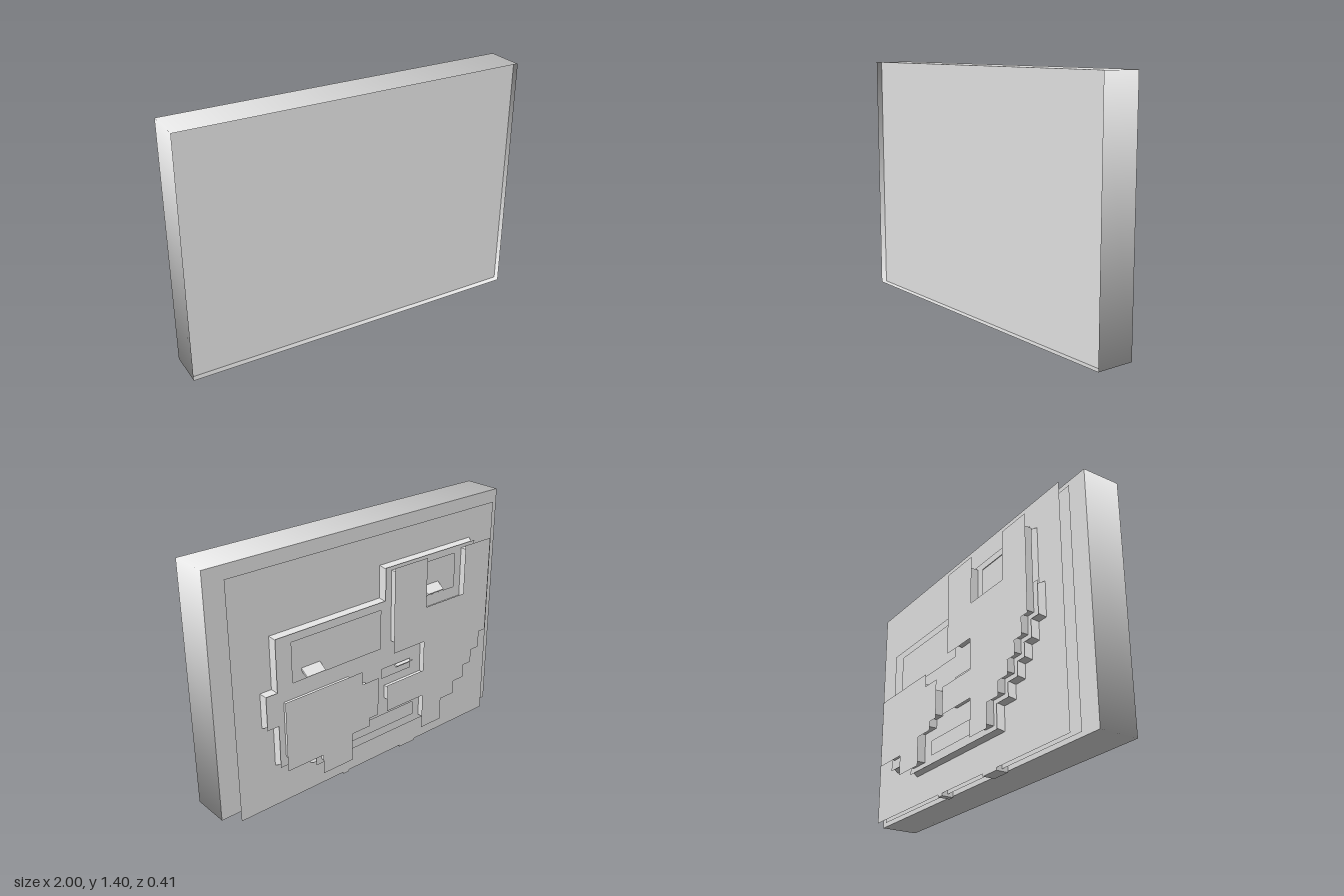
import * as THREE from 'three';

const grey = new THREE.MeshStandardMaterial({ color: 0xe6e6e6, side: THREE.DoubleSide });
grey.name = 'plain grey';

const vectors = (pts) => {
  const v = pts.map(([x, y]) => new THREE.Vector2(x, y));
  return THREE.ShapeUtils.isClockWise(v) ? v.reverse() : v;
};

// Grow (d > 0) or shrink (d < 0) a right-angled outline
function offset(outline, d) {
  const n = outline.length;
  const normal = (a, b) => new THREE.Vector2(b.y - a.y, a.x - b.x).normalize();
  return outline.map((p, i) => {
    const before = normal(outline[(i + n - 1) % n], p);
    const after = normal(p, outline[(i + 1) % n]);
    return p.clone().addScaledVector(before, d).addScaledVector(after, d);
  });
}

// Strip of wall joining one outline at z0 to a matching outline at z1
function wallGeometry(a, z0, b, z1) {
  const pos = [];
  a.forEach((p, i) => {
    const j = (i + 1) % a.length;
    const q = a[j], r = b[j], s = b[i];
    pos.push(p.x, p.y, z0, r.x, r.y, z1, q.x, q.y, z0);
    pos.push(p.x, p.y, z0, s.x, s.y, z1, r.x, r.y, z1);
  });
  const geo = new THREE.BufferGeometry();
  geo.setAttribute('position', new THREE.Float32BufferAttribute(pos, 3));
  geo.computeVertexNormals();
  return geo;
}

// Flat sheet that faces the back
function sheetGeometry(outline, z, holes = []) {
  const shape = new THREE.Shape(outline);
  holes.forEach((h) => shape.holes.push(new THREE.Path(h)));
  const geo = new THREE.ShapeGeometry(shape);
  const index = geo.index.array;
  for (let i = 0; i < index.length; i += 3) [index[i], index[i + 1]] = [index[i + 1], index[i]];
  geo.computeVertexNormals();
  return geo.translate(0, 0, z);
}

const rect = (x0, x1, y0, y1) => vectors([[x0, y0], [x1, y0], [x1, y1], [x0, y1]]);

// Staircase shared by the frame and the large block
const stairs = [
  [-0.7, 0.64], [-0.7, 0.54], [-0.64, 0.54], [-0.64, 0.46], [-0.58, 0.46],
  [-0.58, 0.38], [-0.5, 0.38], [-0.5, 0.3], [-0.4, 0.3], [-0.4, 0.165],
];

const frameOutline = vectors([
  [-0.01, 1.2], [-0.71, 1.2], [-0.71, 0.86], [-0.76, 0.86], [-0.76, 0.64], ...stairs,
  [0.48, 0.165], [0.48, 0.25], [0.71, 0.25], [0.71, 0.5], [0.78, 0.5],
  [0.78, 0.72], [0.71, 0.72], [0.71, 1.015], [-0.01, 1.015],
]);

const largeBlock = vectors([
  [-0.025, 1.205], [-0.26, 1.205], [-0.26, 0.92], [-0.55, 0.92], [-0.55, 1.205],
  [-0.75, 1.205], [-0.75, 0.64], ...stairs, [-0.25, 0.165], [-0.25, 0.376],
  [0.02, 0.376], [0.02, 0.535], [-0.25, 0.535], [-0.25, 0.715], [-0.025, 0.715],
]);

const smallBlock = vectors([
  [0.7, 0.68], [0.2, 0.68], [0.2, 0.605], [0.086, 0.605], [0.086, 0.38], [0.15, 0.38],
  [0.15, 0.33], [0.27, 0.33], [0.27, 0.166], [0.47, 0.166], [0.47, 0.28], [0.7, 0.28],
]);

export function createModel() {
  const model = new THREE.Group();
  model.name = 'layeredRelief';
  const add = (name, geo) => {
    const mesh = new THREE.Mesh(geo, grey);
    mesh.name = name;
    model.add(mesh);
    return mesh;
  };

  // Slab: smoothly shaded rim, a front panel set back inside it and a flush back panel
  const rim = new THREE.CylinderGeometry(Math.SQRT1_2, Math.SQRT1_2, 1, 4, 1, true, Math.PI / 4);
  rim.rotateX(Math.PI / 2).scale(2, 1.39, 0.22).translate(0, 0.705, 0.095);
  add('slabRim', rim);
  const front = new THREE.PlaneGeometry(2, 1.39);
  add('frontPanel', front.translate(0, 0.705, 0.171));
  add('backPanel', sheetGeometry(rect(-1, 1, 0.01, 1.4), -0.015));

  // Two thin sheets floating behind the slab
  add('innerSheet', sheetGeometry(rect(-0.925, 0.89, 0.012, 1.33), -0.055));
  add('outerSheet', sheetGeometry(rect(-0.887, 0.927, 0.012, 1.36), -0.09));

  // Sloping walls that carry the sheets and the frame: [z0, growth0, z1, growth1]
  const steps = [
    [-0.015, 0.07, -0.055, 0.05],
    [-0.055, 0.035, -0.09, 0.015],
    [-0.09, -0.01, -0.135, -0.03],
  ];
  steps.forEach(([z0, d0, z1, d1], i) => {
    add('slopingWall' + (i + 1), wallGeometry(offset(frameOutline, d0), z0, offset(frameOutline, d1), z1));
  });

  // Small feet between the slab and the outer sheet
  for (const [x, width] of [[-0.25, 0.12], [0.22, 0.04]]) {
    const foot = add('foot', new THREE.BoxGeometry(width, 0.1, 0.07));
    foot.position.set(x, 0.05, -0.053);
  }

  // Frame face with its sunken windows, slightly overhanging its wall
  const windows = [
    rect(0.01, 0.6, 0.73, 0.956),
    rect(-0.54, -0.27, 0.945, 1.145),
    rect(-0.21, 0.0, 0.545, 0.6),
    rect(-0.24, 0.24, 0.23, 0.31),
  ];
  add('frameFace', sheetGeometry(offset(frameOutline, -0.014), -0.135, windows));

  // Raised blocks: walls set in beneath an overhanging face
  for (const [name, outline] of [['largeBlock', largeBlock], ['smallBlock', smallBlock]]) {
    const inset = offset(outline, -0.04);
    add(name + 'Wall', wallGeometry(inset, -0.135, inset, -0.205));
    add(name + 'Face', sheetGeometry(outline, -0.205));
  }

  // Small tilted ledges in the windows
  for (const [x, y] of [[0.45, 0.745], [-0.4, 0.965], [-0.17, 0.595]]) {
    const ledge = add('ledge', new THREE.BoxGeometry(0.12, 0.012, 0.06));
    ledge.position.set(x, y, -0.11);
    ledge.rotation.x = -0.6;
  }
  return model;
}
